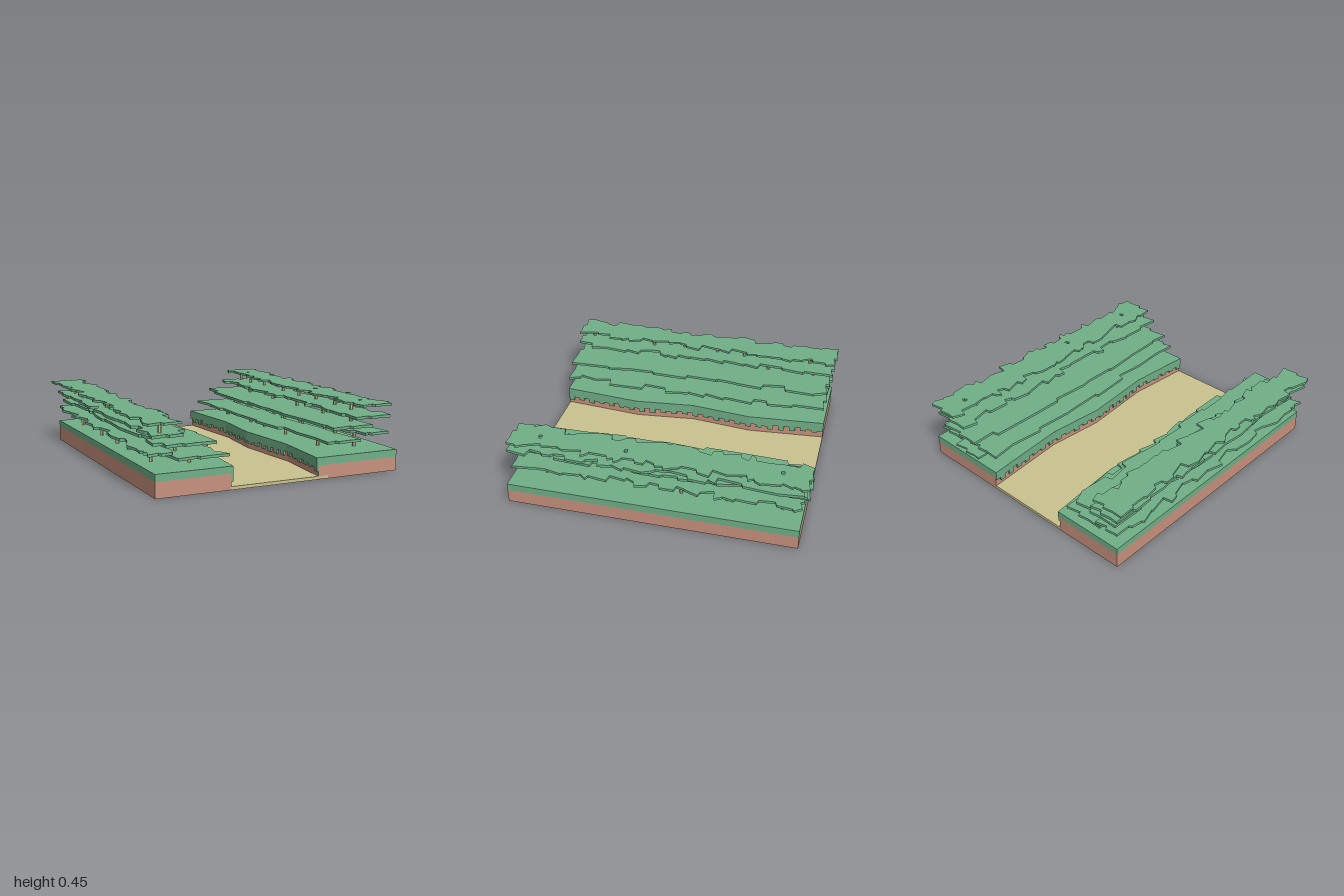
import * as THREE from 'three';
import { mergeGeometries } from 'three/addons/utils/BufferGeometryUtils.js';

const mat = (color) => new THREE.MeshStandardMaterial({ color, flatShading: true });
const green = mat(0x70b088), clay = mat(0xc8917d), sand = mat(0xcac28f);
const Z0 = -0.955, Z1 = 0.97;

function seeded(seed) {
  let s = seed * 7919 + 17;
  return () => {
    s = (s * 16807) % 2147483647;
    return s / 2147483647;
  };
}

// horizontal slab from an outline of [x, z] points
function slab(points, y0, y1, holes = []) {
  const toV = ([x, z]) => new THREE.Vector2(x, -z);
  const shape = new THREE.Shape(points.map(toV));
  for (const h of holes) shape.holes.push(new THREE.Path(h.map(toV)));
  const g = new THREE.ExtrudeGeometry(shape, { depth: y1 - y0, bevelEnabled: false });
  return g.rotateX(-Math.PI / 2).translate(0, y0, 0);
}

function add(group, name, geometry, material) {
  const mesh = new THREE.Mesh(geometry, material);
  mesh.name = name;
  group.add(mesh);
}

// piecewise linear river edge through [x, z] knots
function edgeAt(knots, z) {
  for (let i = 1; i < knots.length; i++) {
    const [xa, za] = knots[i - 1], [xb, zb] = knots[i];
    if (z <= zb || i === knots.length - 1) return xa + ((z - za) / (zb - za)) * (xb - xa);
  }
}

// ragged long side: slanted runs separated by sudden steps
function raggedSide(rand, xEdge, inward, z0, z1, depth, run) {
  const pts = [];
  let z = z0;
  while (z < z1 - 0.03) {
    let next = z + run * (0.45 + rand());
    if (next > z1 - 0.05) next = z1;
    const d = rand() < 0.3 ? depth : depth * 0.6 * rand();
    const tilt = (rand() - 0.5) * 0.035;
    const a = Math.max(0, d - tilt), b = Math.max(0, d + tilt);
    pts.push([xEdge + inward * a, z + 0.006], [xEdge + inward * b, next - 0.006]);
    z = next;
  }
  return pts;
}

// one foliage tier with ragged sides and ends
function tier(seed, xMin, xMax, y0, y1, z0, z1, run, holes) {
  const rand = seeded(seed);
  const near = raggedSide(rand, xMin, 1, z0, z1, 0.055, run);
  const far = raggedSide(rand, xMax, -1, z0, z1, 0.055, run).reverse();
  const mid = (xMin + xMax) / 2;
  const end = (z, s) => [[mid - s * 0.03, z], [mid - s * 0.02, z + s * 0.025], [mid + s * 0.05, z + s * 0.015]];
  return slab([...near, ...end(z1 - 0.025, 1), ...far, ...end(z0 + 0.025, -1)], y0, y1, holes);
}

// row of slim stalks
function stalks(x, y0, y1, zs, spread = 0) {
  return mergeGeometries(zs.map((z, i) =>
    new THREE.CylinderGeometry(0.011, 0.011, y1 - y0, 6)
      .translate(x + spread * ((i % 3) - 1), (y0 + y1) / 2, z)));
}

// hanging turf fringe that follows the river edge
function fringe(knots, side, yTop, seed) {
  const rand = seeded(seed);
  const parts = [], n = 48, step = (Z1 - Z0) / n;
  for (let i = 0; i < n; i++) {
    const low = i % 2 ? 0.05 + rand() * 0.015 : 0.07 + rand() * 0.02;
    const g = new THREE.BoxGeometry(0.012, yTop - low, step);
    g.translate(0, (yTop + low) / 2, Z0 + (i + 0.5) * step);
    const p = g.attributes.position;
    for (let k = 0; k < p.count; k++) {
      p.setX(k, p.getX(k) + edgeAt(knots, p.getZ(k)) + side * 0.006);
    }
    g.computeVertexNormals();
    parts.push(g);
  }
  return mergeGeometries(parts);
}

function bank({ name, side, outer, knots, yTop, turf, tiers, posts }) {
  const group = new THREE.Group();
  group.name = name;
  const outline = (inset) => [[outer, Z0], ...knots.map(([x, z]) => [x + side * inset, z]), [outer, Z1]];
  add(group, 'earth', slab(outline(0.012), 0, yTop - turf), clay);
  add(group, 'turf', slab(outline(0), yTop - turf, yTop), green);
  add(group, 'turfFringe', fringe(knots, side, yTop - 0.002, side + 5), green);
  tiers.forEach((t, i) => add(group, 'foliageTier' + (i + 1), tier(...t), green));
  posts.forEach((p, i) => add(group, 'stalkRow' + (i + 1), stalks(...p), sand));
  return group;
}

export function createModel() {
  const model = new THREE.Group();

  // flat path between the banks
  add(model, 'path', slab([[-0.335, Z0], [0.355, Z0], [0.355, Z1], [-0.335, Z1]], -0.001, 0.02).translate(0, 0.001, 0), sand);

  model.add(bank({
    name: 'rightBank', side: -1, outer: -0.82, yTop: 0.147, turf: 0.045,
    knots: [[-0.315, Z0], [-0.27, -0.42], [-0.315, 0], [-0.27, 0.42], [-0.315, Z1]],
    tiers: [
      [11, -0.70, -0.33, 0.21, 0.227, -0.95, 0.98, 0.22],
      [12, -0.87, -0.63, 0.243, 0.26, -0.96, 0.95, 0.1],
      [13, -0.80, -0.42, 0.293, 0.311, -0.95, 0.98, 0.2],
      [14, -0.85, -0.585, 0.357, 0.375, -0.97, 0.99, 0.12],
      [15, -0.88, -0.62, 0.432, 0.447, -0.98, 0.99, 0.09],
    ],
    posts: [
      [-0.51, 0.145, 0.212, [0.76, 0.41, 0.1, -0.16, -0.46, -0.82]],
      [-0.715, 0.145, 0.245, [0.64, 0.26, 0.04, -0.27, -0.7]],
      [-0.605, 0.225, 0.295, [0.76, 0.44, 0.07, -0.29, -0.66]],
      [-0.69, 0.255, 0.36, [0.69, 0.24, -0.13, -0.48, -0.82]],
      [-0.745, 0.37, 0.435, [0.9, 0.65, 0.41, 0.18, -0.08, -0.29, -0.55, -0.78], 0.015],
    ],
  }));

  const gap = (x, z) => [[x - 0.015, z - 0.01], [x + 0.02, z - 0.012], [x + 0.015, z + 0.008], [x - 0.01, z + 0.012]];
  model.add(bank({
    name: 'leftBank', side: 1, outer: 0.875, yTop: 0.14, turf: 0.05,
    knots: [[0.27, Z0], [0.31, -0.38], [0.27, 0.02], [0.31, 0.52], [0.27, Z1]],
    tiers: [
      [21, 0.31, 0.605, 0.21, 0.227, -0.92, 0.96, 0.22],
      [22, 0.59, 0.835, 0.243, 0.26, -0.96, 0.95, 0.1],
      [23, 0.39, 0.76, 0.293, 0.311, -0.98, 0.94, 0.2],
      [24, 0.535, 0.835, 0.357, 0.375, -0.97, 0.98, 0.12],
      [25, 0.58, 0.86, 0.432, 0.447, -1.0, 0.97, 0.09, [gap(0.715, -0.81), gap(0.73, 0.19), gap(0.715, 0.77)]],
      [26, 0.35, 0.665, 0.197, 0.21, -0.99, -0.62, 0.15],
    ],
    posts: [
      [0.48, 0.14, 0.212, [0.64, 0.21, -0.1, -0.31, -0.7]],
      [0.685, 0.14, 0.245, [0.76, 0.4, 0.1, -0.16, -0.46, -0.82]],
      [0.575, 0.225, 0.295, [0.7, 0.24, -0.13, -0.48, -0.82]],
      [0.655, 0.255, 0.36, [0.76, 0.42, 0.07, -0.29, -0.66]],
      [0.71, 0.37, 0.435, [0.7, 0.48, 0.22, 0.02, -0.23, -0.55, -0.73, -0.92], 0.012],
    ],
  }));
  return model;
}
